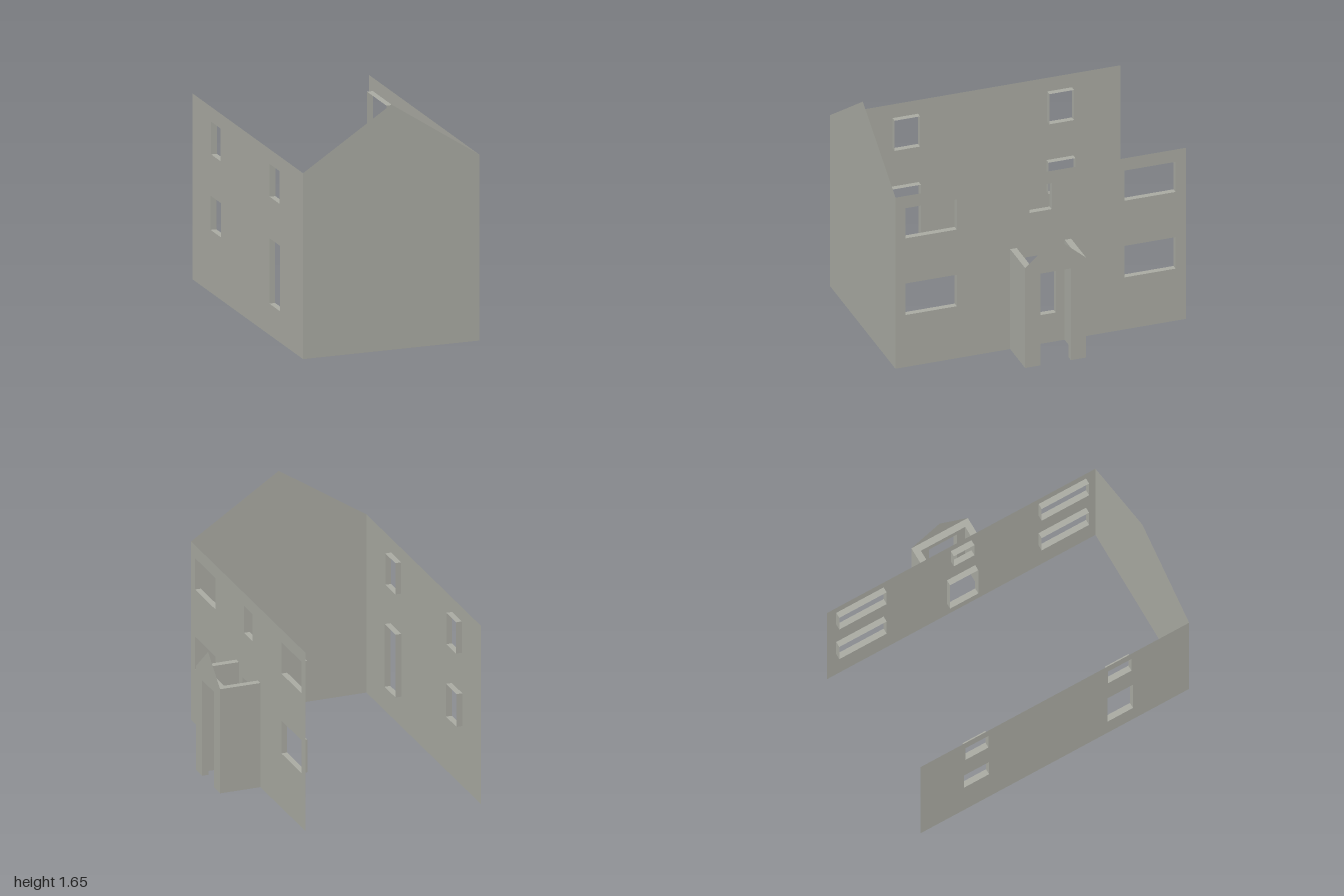
import * as THREE from 'three';

const plaster = new THREE.MeshStandardMaterial({ color: 0xaaaba3, side: THREE.DoubleSide });
plaster.name = 'greyPlaster';

const REVEAL = 0.04;
const LEFT = -0.75, RIGHT = 0.47, EAVES = 1.25;

function add(parent, name, geometry, x = 0, y = 0, z = 0) {
  const mesh = new THREE.Mesh(geometry, plaster);
  mesh.name = name;
  mesh.position.set(x, y, z);
  parent.add(mesh);
  return mesh;
}

function polygon(points) {
  return new THREE.Shape(points.map(([u, v]) => new THREE.Vector2(u, v)));
}

// Places a shape drawn in (z, y) on a plane of constant x; extrusion runs towards -x
function addSide(parent, name, geometry, x) {
  const mesh = add(parent, name, geometry, x);
  mesh.rotation.y = -Math.PI / 2;
  return mesh;
}

// Open rectangular sleeve, one unit in each direction, open along x
function sleeve() {
  const tube = new THREE.CylinderGeometry(Math.SQRT1_2, Math.SQRT1_2, 1, 4, 1, true);
  tube.rotateY(Math.PI / 4);
  tube.rotateZ(Math.PI / 2);
  const flat = tube.toNonIndexed();
  flat.computeVertexNormals();
  return flat;
}

// Thin long wall with openings [z0, z1, y0, y1], each lined on the inside
function longWall(name, x, inward, openings) {
  const group = new THREE.Group();
  group.name = name;
  const shape = polygon([[-1, 0], [1, 0], [1, EAVES], [-1, EAVES]]);
  for (const [z0, z1, y0, y1] of openings) {
    shape.holes.push(polygon([[z0, y0], [z0, y1], [z1, y1], [z1, y0]]));
    add(group, 'openingReveal',
      sleeve().scale(REVEAL, y1 - y0, z1 - z0),
      x + inward * REVEAL / 2, (y0 + y1) / 2, (z0 + z1) / 2);
  }
  const sheet = new THREE.ShapeGeometry(shape);
  addSide(group, name + 'Sheet', sheet, x);
  return group;
}

function porch() {
  const group = new THREE.Group();
  group.name = 'porch';
  const front = 0.75, half = 0.21, top = 0.73, t = 0.045;
  const door = 0.105, doorTop = 0.67;

  // Front wall with a doorway notch
  const wall = polygon([
    [-half, 0], [-door, 0], [-door, doorTop], [door, doorTop],
    [door, 0], [half, 0], [half, top], [-half, top],
  ]);
  addSide(group, 'porchFront',
    new THREE.ExtrudeGeometry(wall, { depth: t, bevelEnabled: false }), front);

  // Thin gable above the doorway
  const gable = new THREE.ShapeGeometry(polygon([[-half, top], [half, top], [0, 0.91]]));
  addSide(group, 'porchGable', gable, front);

  // Side walls
  const length = front - t - RIGHT;
  for (const s of [-1, 1]) {
    add(group, 'porchSide', new THREE.BoxGeometry(length, top, t),
      RIGHT + length / 2, top / 2, s * (half - t / 2));
  }
  return group;
}

export function createModel() {
  const model = new THREE.Group();
  model.name = 'houseShell';

  // Gable wall at the front; the back stays open
  add(model, 'frontGable', new THREE.ShapeGeometry(polygon([
    [LEFT, 0], [RIGHT, 0], [RIGHT, EAVES], [(LEFT + RIGHT) / 2, 1.65], [LEFT, EAVES],
  ])), 0, 0, 1);

  // Entrance wall: four wide windows, a small one and the doorway
  model.add(longWall('entranceWall', RIGHT, -1, [
    [0.577, 0.93, 0.94, 1.16], [0.577, 0.93, 0.38, 0.61],
    [-0.93, -0.577, 0.94, 1.16], [-0.93, -0.577, 0.38, 0.61],
    [-0.077, 0.077, 0.97, 1.16], [-0.105, 0.105, 0.21, 0.65],
  ]));

  // Opposite wall: three small windows and a tall one
  model.add(longWall('oppositeWall', LEFT, 1, [
    [-0.665, -0.495, 0.93, 1.15], [0.395, 0.57, 0.93, 1.15],
    [-0.675, -0.49, 0.42, 0.65], [0.39, 0.582, 0.21, 0.65],
  ]));

  model.add(porch());
  return model;
}
